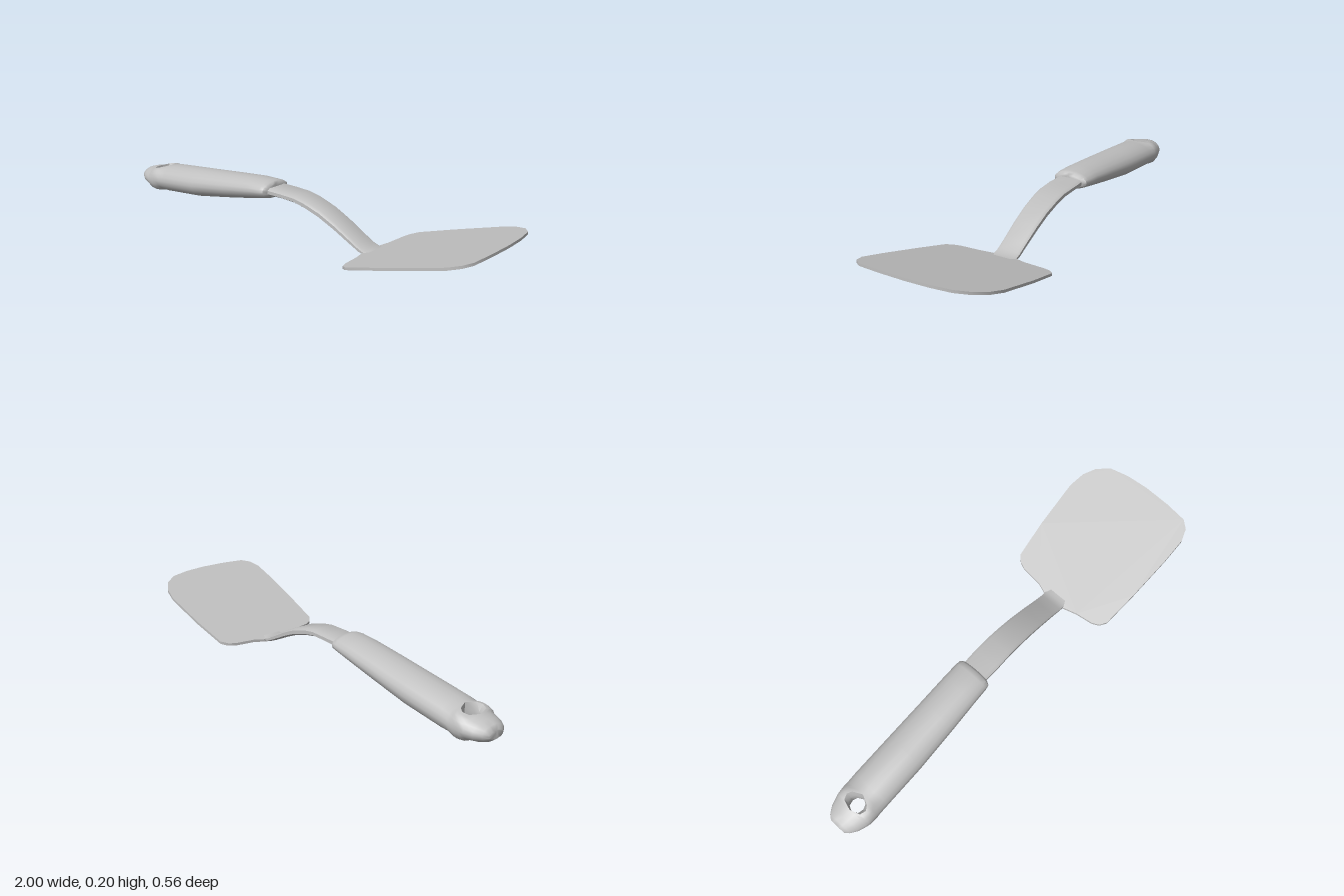
import * as THREE from 'three';
import { mergeGeometries, toCreasedNormals } from 'three/addons/utils/BufferGeometryUtils.js';

// Skins a list of closed rings running along +x; skip(i, j) leaves a quad open.
function loft(rings, skip = () => false) {
  const n = rings[0].length, last = rings.length - 1;
  const pos = rings.flat(2), idx = [];
  for (let i = 0; i < last; i++) {
    for (let j = 0; j < n; j++) {
      if (skip(i, j)) continue;
      const k = (j + 1) % n, a = i * n + j, b = i * n + k;
      idx.push(a, b, b + n, a, b + n, a + n);
    }
  }
  for (let j = 1; j < n - 1; j++) {
    idx.push(0, j + 1, j, last * n, last * n + j, last * n + j + 1);
  }
  const geo = new THREE.BufferGeometry();
  geo.setAttribute('position', new THREE.Float32BufferAttribute(pos, 3));
  geo.setIndex(idx);
  return geo;
}

// Handle stations: x, bottom y, top y, back z, front z, half width of the hanging hole
const HANDLE = [
  [-1.0, 0.05, 0.085, -0.03, 0.045, 0],
  [-0.985, 0.036, 0.102, -0.05, 0.065, 0],
  [-0.955, 0.026, 0.112, -0.07, 0.085, 0],
  [-0.92, 0.02, 0.118, -0.082, 0.097, 0],
  [-0.905, 0.019, 0.121, -0.085, 0.1, 0.03],
  [-0.88, 0.018, 0.126, -0.087, 0.101, 0.036],
  [-0.86, 0.017, 0.131, -0.089, 0.102, 0.028],
  [-0.84, 0.016, 0.136, -0.09, 0.102, 0],
  [-0.8, 0.016, 0.145, -0.091, 0.102, 0],
  [-0.6, 0.035, 0.166, -0.09, 0.102, 0],
  [-0.4, 0.072, 0.186, -0.087, 0.096, 0],
  [-0.26, 0.1, 0.199, -0.085, 0.09, 0],
  [-0.18, 0.118, 0.2, -0.083, 0.087, 0],
  [-0.16, 0.123, 0.198, -0.08, 0.083, 0],
  [-0.15, 0.132, 0.188, -0.065, 0.067, 0],
];

// One lengthwise half of the handle; the two halves part around the hole.
function handleHalf(side) {
  const STEPS = 10;
  const rings = HANDLE.map(([x, lo, hi, back, front, hole]) => {
    const mid = (lo + hi) / 2, ry = (hi - lo) / 2, zc = 0.008;
    const w = side > 0 ? front - zc : zc - back;
    const crest = hole * 1.5;
    const ring = [];
    for (let s = 0; s <= STEPS; s++) {
      const a = (s / STEPS) * Math.PI;
      ring.push([x, mid + ry * Math.cos(a), zc + side * (crest + (w - crest) * Math.sin(a))]);
    }
    ring.push([x, mid - ry * 0.5, zc + side * hole], [x, mid + ry * 0.5, zc + side * hole]);
    return side > 0 ? ring : ring.reverse();
  });
  const innerWall = (j) => (side > 0 ? j >= STEPS : j < 2 || j === STEPS + 2);
  return loft(rings, (i, j) => innerWall(j) && HANDLE[i][5] === 0 && HANDLE[i + 1][5] === 0);
}

// Neck: a flat bar with rounded edges, swept along the arched shank
function neckGeometry() {
  const stations = [ // x, centre y, half thickness, half width
    [-0.2, 0.158, 0.017, 0.058],
    [-0.08, 0.161, 0.014, 0.062],
    [0.0, 0.158, 0.015, 0.06],
    [0.06, 0.146, 0.016, 0.059],
    [0.14, 0.121, 0.017, 0.057],
    [0.22, 0.085, 0.016, 0.055],
    [0.3, 0.043, 0.014, 0.053],
    [0.35, 0.018, 0.011, 0.053],
    [0.38, 0.01, 0.008, 0.054],
    [0.42, 0.018, 0.006, 0.05],
  ];
  const section = [[1, -0.8], [1, 0.8], [0.5, 1], [-0.5, 1], [-1, 0.8], [-1, -0.8], [-0.5, -1], [0.5, -1]];
  return loft(stations.map(([x, y, t, w]) => section.map(([sy, sz]) => [x, y + sy * t, sz * w])));
}

// Blade: rounded outline in plan, tilted upward toward the tip
function bladeGeometry() {
  const outline = [ // x, z
    [0.37, -0.05], [0.388, -0.1], [0.398, -0.2], [0.41, -0.232], [0.435, -0.257],
    [0.6, -0.275], [0.81, -0.285], [0.88, -0.272], [0.935, -0.24], [0.975, -0.185],
    [0.993, -0.1], [1.0, 0], [0.997, 0.12], [0.987, 0.22], [0.96, 0.255],
    [0.91, 0.275], [0.8, 0.275], [0.6, 0.265], [0.44, 0.252], [0.412, 0.232],
    [0.398, 0.2], [0.388, 0.12], [0.37, 0.05],
  ];
  const shape = new THREE.Shape(outline.map(([x, z]) => new THREE.Vector2(x, z)));
  const geo = new THREE.ExtrudeGeometry(shape, { depth: 0.012, bevelEnabled: false });
  geo.rotateX(Math.PI / 2);
  const p = geo.attributes.position;
  for (let i = 0; i < p.count; i++) {
    p.setY(i, p.getY(i) + 0.021 + (p.getX(i) - 0.4) * 0.293);
  }
  geo.computeVertexNormals();
  return geo;
}

export function createModel() {
  const grey = new THREE.MeshStandardMaterial({ color: 0xc0c0c0 });
  grey.name = 'grey';
  const model = new THREE.Group();
  model.name = 'spatula';
  const add = (name, geometry, crease) => {
    const mesh = new THREE.Mesh(toCreasedNormals(geometry, crease), grey);
    mesh.name = name;
    model.add(mesh);
  };
  add('handle', mergeGeometries([handleHalf(1), handleHalf(-1)]), 0.8);
  add('neck', neckGeometry(), 0.9);
  add('blade', bladeGeometry(), 0.6);
  return model;
}
